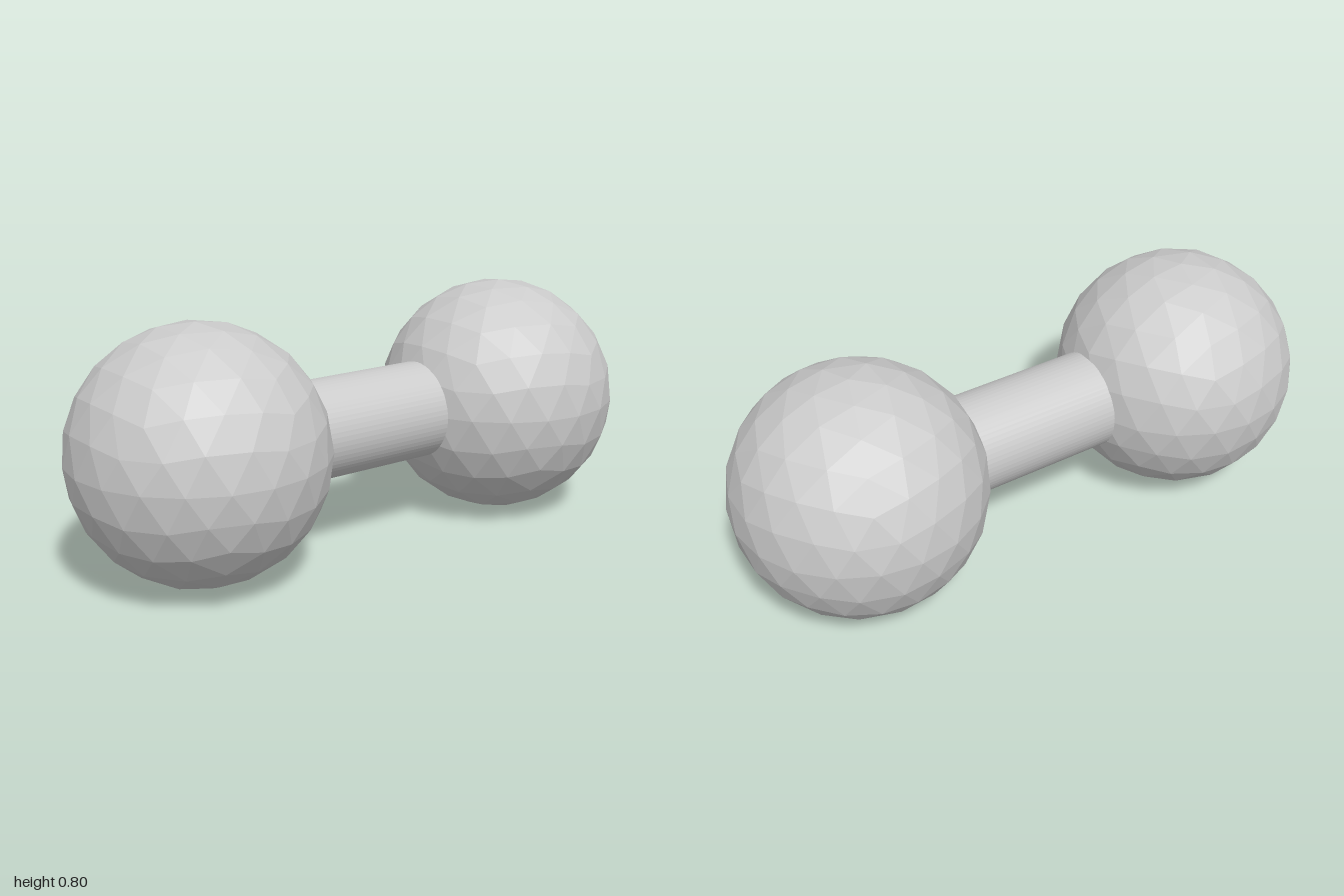
import * as THREE from 'three';

const RADIUS = 0.4;
const SPACING = 0.6;

// Split every triangle into four, pushing the midpoints out to the sphere.
function subdivide(triangles) {
  const mid = (p, q) => p.clone().add(q).setLength(RADIUS);
  return triangles.flatMap(([a, b, c]) => {
    const ab = mid(a, b), bc = mid(b, c), ca = mid(c, a);
    return [[a, ab, ca], [ab, b, bc], [ca, bc, c], [ab, bc, ca]];
  });
}

// Faceted icosphere standing on one vertex, with an upper ring vertex towards +x.
function icosphere(levels) {
  const base = new THREE.IcosahedronGeometry(RADIUS, 0);
  base.rotateX(-Math.atan((1 + Math.sqrt(5)) / 2));
  base.rotateY(Math.PI / 2);
  const pos = base.getAttribute('position');
  const corner = (i) => new THREE.Vector3().fromBufferAttribute(pos, i);
  let triangles = [];
  for (let i = 0; i < pos.count; i += 3) {
    triangles.push([corner(i), corner(i + 1), corner(i + 2)]);
  }
  for (let i = 0; i < levels; i++) triangles = subdivide(triangles);
  const geometry = new THREE.BufferGeometry().setFromPoints(triangles.flat());
  geometry.computeVertexNormals();
  return geometry;
}

export function createModel() {
  const model = new THREE.Group();
  model.name = 'dumbbell';
  const material = new THREE.MeshStandardMaterial({ color: 0xcccccc, flatShading: true });

  // Weights at both ends
  const weight = icosphere(2);
  for (const side of [1, -1]) {
    const mesh = new THREE.Mesh(weight, material);
    mesh.name = side > 0 ? 'leftWeight' : 'rightWeight';
    mesh.position.set(side * SPACING, RADIUS, 0);
    model.add(mesh);
  }

  // Handle running between the weight centres
  const bar = new THREE.CylinderGeometry(0.16, 0.16, SPACING * 2, 64);
  bar.rotateZ(Math.PI / 2);
  const handle = new THREE.Mesh(bar, material);
  handle.name = 'handle';
  handle.position.y = RADIUS;
  model.add(handle);

  return model;
}
